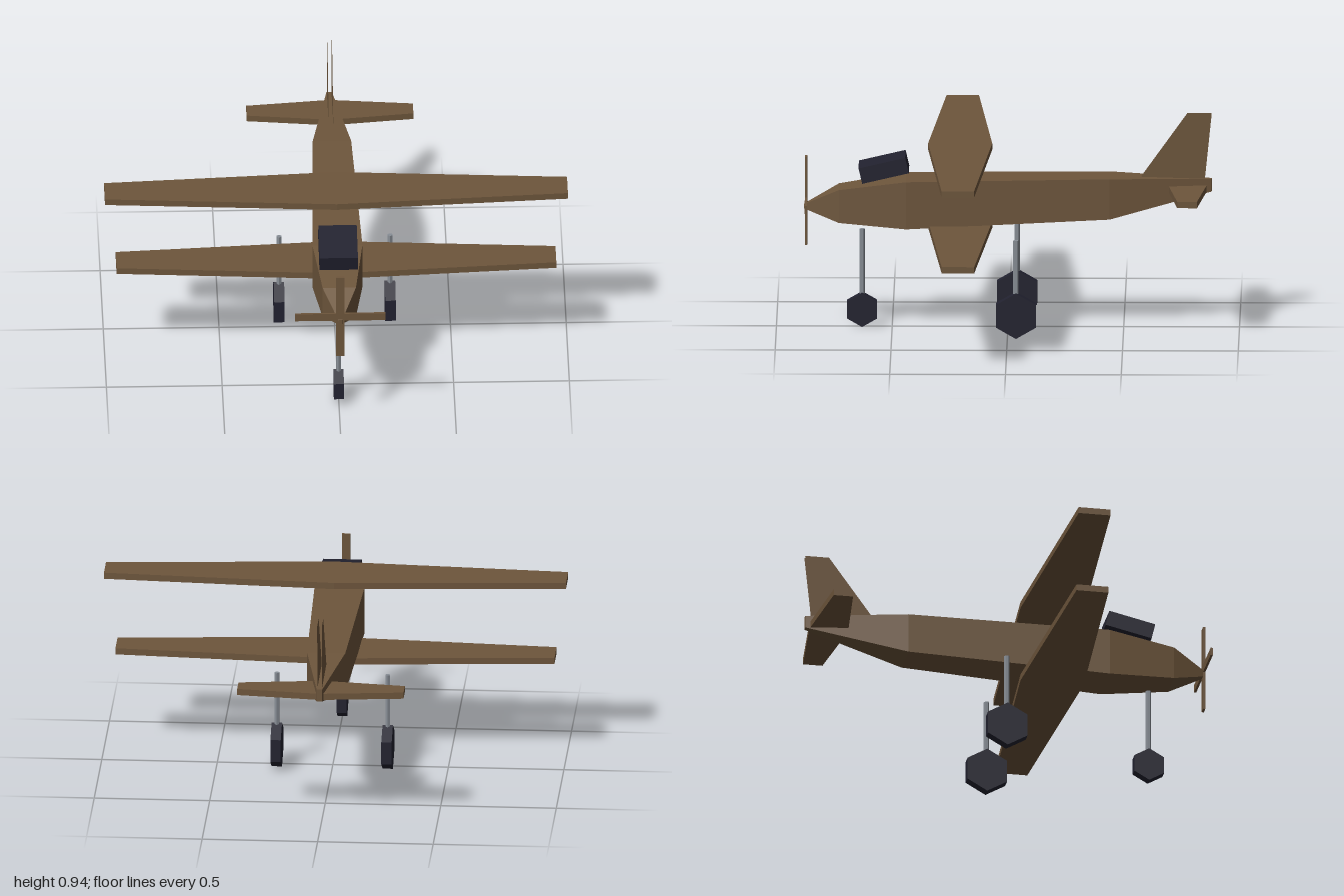
import * as THREE from 'three';

export function createModel() {
  const model = new THREE.Group();
  const brown = new THREE.MeshStandardMaterial({ name: 'woodBrown', color: 0x6e563c, side: THREE.DoubleSide });
  const dark = new THREE.MeshStandardMaterial({ name: 'darkNavy', color: 0x222230 });
  const grey = new THREE.MeshStandardMaterial({ name: 'metalGrey', color: 0x888e96 });

  // Adds a faceted mesh at a position
  function add(name, geometry, material, x = 0, y = 0, z = 0) {
    const flat = geometry.index ? geometry.toNonIndexed() : geometry;
    flat.computeVertexNormals();
    const mesh = new THREE.Mesh(flat, material);
    mesh.name = name;
    mesh.position.set(x, y, z);
    model.add(mesh);
    return mesh;
  }

  // Fuselage stations from tail to nose: z, half width, bottom, top
  const stations = [
    [-0.88, 0.012, 0.6, 0.655],
    [-0.44, 0.083, 0.49, 0.668],
    [0.44, 0.108, 0.45, 0.658],
    [0.73, 0.072, 0.47, 0.615],
    [0.88, 0.008, 0.52, 0.54],
  ];
  const body = new THREE.BoxGeometry(2, 2, 4, 1, 1, 4);
  const p = body.attributes.position;
  for (let i = 0; i < p.count; i++) {
    const [z, half, bottom, top] = stations[Math.round(p.getZ(i) + 2)];
    p.setXYZ(i, p.getX(i) * half, p.getY(i) > 0 ? top : bottom, z);
  }
  add('fuselage', body, brown);

  // Tapered flat wing: root and tip are [rear z, front z]
  function wing(name, half, root, tip, bottom, thickness) {
    const shape = new THREE.Shape([
      [-half, tip[0]], [0, root[0]], [half, tip[0]],
      [half, tip[1]], [0, root[1]], [-half, tip[1]],
    ].map(([x, z]) => new THREE.Vector2(x, z)));
    const geometry = new THREE.ExtrudeGeometry(shape, { depth: thickness, bevelEnabled: false });
    geometry.rotateX(Math.PI / 2);
    add(name, geometry, brown, 0, bottom + thickness, 0);
  }
  wing('upperWing', 1, [0.068, 0.345], [0.136, 0.276], 0.78, 0.028);
  wing('lowerWing', 0.95, [0.068, 0.345], [0.136, 0.276], 0.435, 0.028);
  wing('tailplane', 0.36, [-0.86, -0.69], [-0.82, -0.735], 0.6, 0.028);

  // Tail fin as two thin side skins
  const finShape = new THREE.Shape([
    [0.57, 0.655], [0.85, 0.65], [0.88, 0.942], [0.775, 0.942],
  ].map(([z, y]) => new THREE.Vector2(z, y)));
  for (const side of [-1, 1]) {
    add(side > 0 ? 'finLeftSkin' : 'finRightSkin',
      new THREE.ShapeGeometry(finShape).rotateY(Math.PI / 2), brown, side * 0.01, 0, 0);
  }

  // Crossed propeller blades
  add('propellerVertical', new THREE.BoxGeometry(0.036, 0.39, 0.01), brown, 0, 0.555, 0.872);
  add('propellerHorizontal', new THREE.BoxGeometry(0.39, 0.034, 0.01), brown, 0, 0.553, 0.872);

  // Tilted canopy
  add('canopy', new THREE.BoxGeometry(0.166, 0.07, 0.207), dark, 0, 0.703, 0.536).rotation.x = 0.23;

  // Landing gear: six-sided wheel with a vertical strut
  function gear(name, x, z, radius, width) {
    const wheel = new THREE.CylinderGeometry(radius, radius, width, 6);
    wheel.rotateY(Math.PI / 2).rotateZ(Math.PI / 2);
    add(name + 'Wheel', wheel, dark, x, radius, z);
    const height = 0.43 - radius;
    add(name + 'Strut', new THREE.CylinderGeometry(0.012, 0.012, height, 6), grey, x, radius + height / 2, z);
  }
  gear('nose', 0, 0.63, 0.075, 0.042);
  gear('left', 0.24, -0.037, 0.1, 0.045);
  gear('right', -0.24, -0.037, 0.1, 0.045);

  return model;
}
